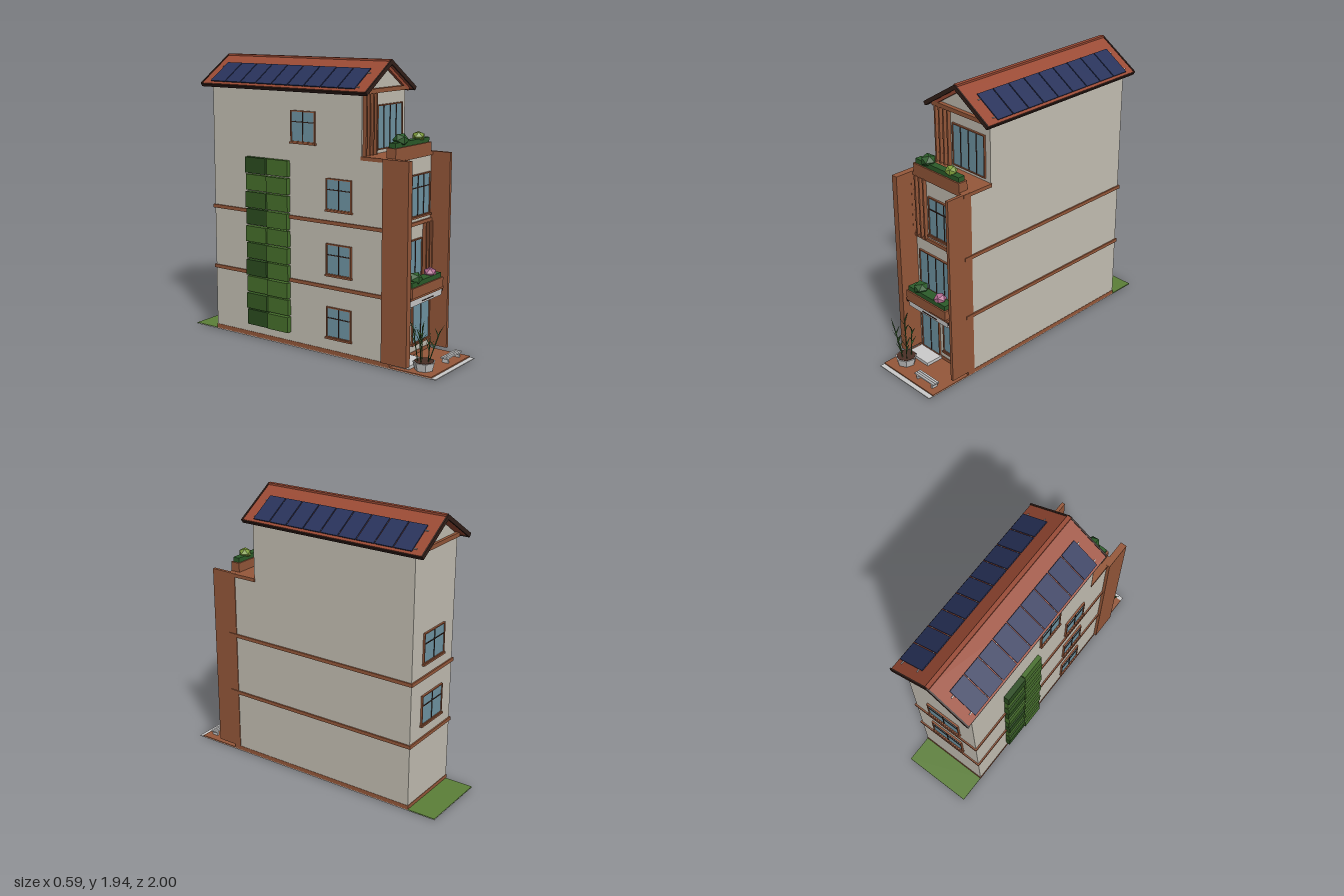
import * as THREE from 'three';

const CX = 0.015; // centre line of the house
const mat = (color, extra = {}) => new THREE.MeshStandardMaterial({ color, flatShading: true, ...extra });
const M = {
  wall: mat(0xc6c1b5), brown: mat(0x96583a), roof: mat(0x9a4a34), dark: mat(0x33201a),
  glass: mat(0x7197a6), panel: mat(0x28325a), grey: mat(0xcccccc), grass: mat(0x5c8038),
  green: mat(0x2c5c2a), lime: mat(0x7c9c3a), pink: mat(0xb56a92), soil: mat(0x4a3026),
  leaf: mat(0x3c6630, { side: THREE.DoubleSide }),
  moss: [mat(0x2b4d1f), mat(0x47702c), mat(0x365c24)],
};

function add(parent, name, geo, material, x = 0, y = 0, z = 0) {
  const m = new THREE.Mesh(geo, material);
  m.name = name;
  m.position.set(x, y, z);
  parent.add(m);
  return m;
}

// Box given by its extents
function box(parent, name, material, x0, x1, y0, y1, z0, z1) {
  return add(parent, name, new THREE.BoxGeometry(x1 - x0, y1 - y0, z1 - z0), material,
    (x0 + x1) / 2, (y0 + y1) / 2, (z0 + z1) / 2);
}

function group(parent, name, x = 0, y = 0, z = 0) {
  const g = new THREE.Group();
  g.name = name;
  g.position.set(x, y, z);
  parent.add(g);
  return g;
}

// Framed window facing +z, centred on its own origin
function windowUnit(parent, name, w, h, cols, transom, sill) {
  const g = group(parent, name), a = w / 2, b = h / 2, t = 0.008;
  box(g, 'glass', M.glass, -a, a, -b, b, -0.004, 0.004);
  for (const s of [-1, 1]) {
    box(g, 'frameSide', M.brown, s * a - t / 2, s * a + t / 2, -b, b, -0.004, 0.01);
    box(g, 'frameRail', M.brown, -a - t / 2, a + t / 2, s * b - t / 2, s * b + t / 2, -0.004, 0.01);
  }
  for (let i = 1; i < cols; i++) {
    const x = -a + (w * i) / cols;
    box(g, 'mullion', M.dark, x - 0.0025, x + 0.0025, -b, b, 0, 0.008);
  }
  if (transom) box(g, 'transom', M.dark, -a, a, b * transom - 0.003, b * transom + 0.003, 0, 0.008);
  if (sill) box(g, 'sill', M.brown, -a - 0.01, a + 0.01, -b - 0.014, -b - 0.002, -0.004, 0.016);
  return g;
}

// Planter trough with hedge and two bushes
function planter(parent, name, x0, x1, y, z0, z1, bushes) {
  const g = group(parent, name);
  box(g, 'trough', M.brown, x0, x1, y, y + 0.066, z0, z1);
  box(g, 'hedge', M.green, x0 + 0.012, x1 - 0.012, y + 0.06, y + 0.098, z0 + 0.01, z1 - 0.01);
  for (const [x, r, m] of bushes) {
    const b = add(g, 'bush', new THREE.IcosahedronGeometry(r, 0), m, x, y + 0.108, (z0 + z1) / 2);
    b.scale.set(1.08, 0.92, 1.08);
    b.rotation.y = x * 5;
  }
}

function buildRoof(root) {
  const roof = group(root, 'roof', CX, 1.94, 0);
  const zf = 0.49, zb = -0.865, len = 0.343, ang = Math.atan(0.637);
  for (const s of [-1, 1]) {
    const g = group(roof, s < 0 ? 'roofSlopeRight' : 'roofSlopeLeft');
    g.rotation.z = -s * ang;
    const slab = (name, m, d0, d1, y0, y1, z0, z1) =>
      box(g, name, m, Math.min(s * d0, s * d1), Math.max(s * d0, s * d1), y0, y1, z0, z1);
    slab('roofSlab', M.roof, 0, len, -0.022, 0, zb, zf);
    slab('eaveTrim', M.dark, len - 0.004, len + 0.006, -0.026, -0.004, zb, zf);
    for (const [z0, z1] of [[zf - 0.004, zf + 0.007], [zb - 0.007, zb + 0.004]])
      slab('gableTrim', M.dark, 0, len + 0.006, -0.024, 0.004, z0, z1);
    slab('gableBoard', M.roof, 0, len - 0.02, -0.042, -0.02, zf - 0.045, zf - 0.025);
    // Solar panels on rails
    for (const d of [0.15, 0.3]) slab('panelRail', M.grey, d - 0.003, d + 0.003, 0, 0.006, -0.81, 0.42);
    for (let i = 0; i < 9; i++) {
      const z = -0.79 + i * 0.1333;
      slab('solarPanel', M.panel, 0.114, 0.328, 0.006, 0.013, z, z + 0.126);
    }
  }
  box(roof, 'ridgeCap', M.roof, -0.014, 0.014, -0.014, 0.004, zb, zf);
}

function buildPottedPlant(root) {
  const g = group(root, 'pottedPlant', -0.135, 0.012, 0.857);
  add(g, 'pot', new THREE.CylinderGeometry(0.075, 0.06, 0.056, 7), M.grey, 0, 0.028, 0);
  add(g, 'soil', new THREE.CylinderGeometry(0.067, 0.067, 0.004, 7), M.soil, 0, 0.057, 0);
  const blade = new THREE.ConeGeometry(0.011, 0.085, 4).translate(0, 0.042, 0).scale(1, 1, 0.3);
  const up = new THREE.Vector3(0, 1, 0);
  // Each stem: foot x, foot z, tip x, tip z, tip height
  const stems = [[-0.04, 0, -0.095, 0.02, 0.26], [-0.03, -0.03, -0.06, -0.05, 0.29],
    [0.0, 0.03, -0.02, 0.05, 0.2], [0.03, 0.02, 0.09, 0.06, 0.24], [0.02, -0.03, 0.03, -0.035, 0.27]];
  stems.forEach(([x0, z0, x1, z1, h], k) => {
    const p = new THREE.Vector3(x0, 0.055, z0), q = new THREE.Vector3(x1, h, z1);
    const curve = new THREE.LineCurve3(p, q);
    add(g, 'stem', new THREE.TubeGeometry(curve, 1, 0.0035, 5), M.leaf);
    for (let i = 0; i < 5; i++) {
      const a = k * 1.3 + i * 2.4;
      const foot = curve.getPoint(0.45 + i * 0.13);
      const leaf = add(g, 'leaf', blade, M.leaf, foot.x, foot.y, foot.z);
      const dir = new THREE.Vector3(Math.cos(a) * 0.6, 1, Math.sin(a) * 0.6).normalize();
      leaf.quaternion.setFromUnitVectors(up, dir);
      leaf.scale.setScalar(0.75);
    }
  });
}

export function createModel() {
  const root = new THREE.Group();
  root.name = 'townhouse';
  const L = -0.235, R = 0.265, back = -0.8, front = 0.655, upper = 0.437;

  // Plot
  box(root, 'plotBase', M.grey, L, R, 0, 0.006, -1, 1);
  box(root, 'patio', M.brown, L, R, 0.006, 0.014, back, 0.967);
  box(root, 'lawn', M.grass, L, R, 0.003, 0.009, -1, back);
  box(root, 'doorStep', M.grey, -0.2, 0.0, 0.012, 0.036, 0.66, 0.785);

  // Walls, plinth and floor bands
  box(root, 'lowerWalls', M.wall, L, R, 0.01, 1.335, back, front);
  box(root, 'topStorey', M.wall, L, R, 1.335, 1.75, back, upper);
  box(root, 'plinth', M.brown, L - 0.003, R + 0.002, 0.012, 0.038, back - 0.003, front + 0.004);
  for (const y of [0.466, 0.898])
    box(root, 'floorBand', M.brown, L - 0.01, R + 0.01, y - 0.012, y + 0.012, back - 0.01, 0.668);
  box(root, 'terraceSlab', M.brown, L - 0.006, R + 0.008, 1.325, 1.349, upper - 0.005, 0.667);

  // Facade fins
  box(root, 'rightFin', M.brown, -0.256, -0.212, 0.04, 1.35, 0.607, 0.797);
  box(root, 'leftFin', M.brown, 0.248, 0.27, 0.04, 1.35, 0.607, 0.797);

  // Gable walls and tie beams
  const tri = new THREE.Shape();
  tri.moveTo(-0.25, 0);
  tri.lineTo(0.25, 0);
  tri.lineTo(0, 0.165);
  const gable = new THREE.ExtrudeGeometry(tri, { depth: 0.02, bevelEnabled: false });
  add(root, 'frontGable', gable, M.wall, CX, 1.748, upper - 0.02);
  add(root, 'backGable', gable, M.wall, CX, 1.748, back);
  box(root, 'frontTieBeam', M.brown, L, R, 1.738, 1.766, upper - 0.005, upper + 0.028);
  box(root, 'backTieBeam', M.brown, L, R, 1.738, 1.766, back - 0.02, back + 0.005);
  buildRoof(root);

  // Vertical slats beside the front windows
  const slats = (xs, y0, y1, z) => xs.forEach(x =>
    box(root, 'slat', M.brown, x - 0.006, x + 0.006, y0, y1, z - 0.004, z + 0.026));
  const row = [-0.217, -0.178, -0.139, -0.1];
  slats(row, 1.345, 1.745, upper);
  slats(row, 0.905, 1.33, front);
  slats([0.163, 0.2, 0.237], 0.475, 0.89, front);

  // Front windows and doors: x0, x1, y0, y1, z, panes, transom, sill
  for (const [n, x0, x1, y0, y1, z, c, t, s] of [
    ['topWindow', -0.068, 0.22, 1.375, 1.655, upper, 4, 0, false],
    ['thirdFloorWindow', -0.068, 0.22, 0.947, 1.215, front, 4, 0.38, true],
    ['secondFloorWindow', -0.178, 0.133, 0.52, 0.793, front, 4, 0, false],
    ['entranceDoor', -0.185, -0.014, 0.036, 0.36, front, 2, 0, false],
    ['shopWindow', 0.033, 0.24, 0.097, 0.385, front, 2, 0, true]])
    windowUnit(root, n, x1 - x0, y1 - y0, c, t, s).position.set((x0 + x1) / 2, (y0 + y1) / 2, z + 0.003);

  // Back and side windows
  for (const y of [0.672, 1.1]) {
    const w = windowUnit(root, 'backWindow', 0.245, 0.2, 2, 0.3, true);
    w.position.set(CX, y, back - 0.003);
    w.rotation.y = Math.PI;
  }
  for (const [y, z] of [[0.23, 0.267], [0.655, 0.267], [1.085, 0.267], [1.505, -0.02]]) {
    const w = windowUnit(root, 'sideWindow', 0.19, 0.2, 2, 0.3, true);
    w.position.set(L - 0.003, y, z);
    w.rotation.y = -Math.PI / 2;
  }

  // Green wall of planted panels
  for (let c = 0; c < 2; c++)
    for (let r = 0; r < 10; r++) {
      const y = 0.1 + r * 0.1185, z = -0.49 + c * 0.18;
      box(root, 'plantPanel', M.moss[(r * 2 + c * (r % 3 + 1)) % 3], (r + c) % 2 ? -0.273 : -0.265,
        L + 0.002, y, y + 0.108, z, z + 0.175);
    }

  // Canopy over the entrance, carrying the lower planter
  box(root, 'canopy', M.grey, -0.176, 0.206, 0.412, 0.462, front, 0.775);
  box(root, 'canopySlab', M.brown, -0.19, 0.215, 0.456, 0.474, front, 0.785);
  box(root, 'canopyLight', M.dark, -0.04, 0.105, 0.424, 0.43, 0.77, 0.778);
  for (const x of [-0.19, 0.212]) box(root, 'canopyBracket', M.dark, x - 0.007, x + 0.007, 0.436, 0.458, front, 0.775);
  planter(root, 'lowerPlanter', -0.18, 0.202, 0.47, 0.7, 0.79, [[-0.082, 0.049, M.green], [0.107, 0.041, M.pink]]);
  planter(root, 'terracePlanter', -0.2, 0.228, 1.346, 0.598, 0.667, [[-0.09, 0.049, M.green], [0.122, 0.04, M.lime]]);

  buildPottedPlant(root);

  // Slatted bench
  const bench = group(root, 'bench');
  for (let i = 0; i < 3; i++) {
    const z = 0.878 + i * 0.017;
    box(bench, 'benchPlank', M.grey, 0.035, 0.225, 0.042, 0.052, z, z + 0.014);
  }
  for (const x of [0.05, 0.195]) box(bench, 'benchLeg', M.grey, x, x + 0.015, 0.012, 0.042, 0.88, 0.924);
  return root;
}
